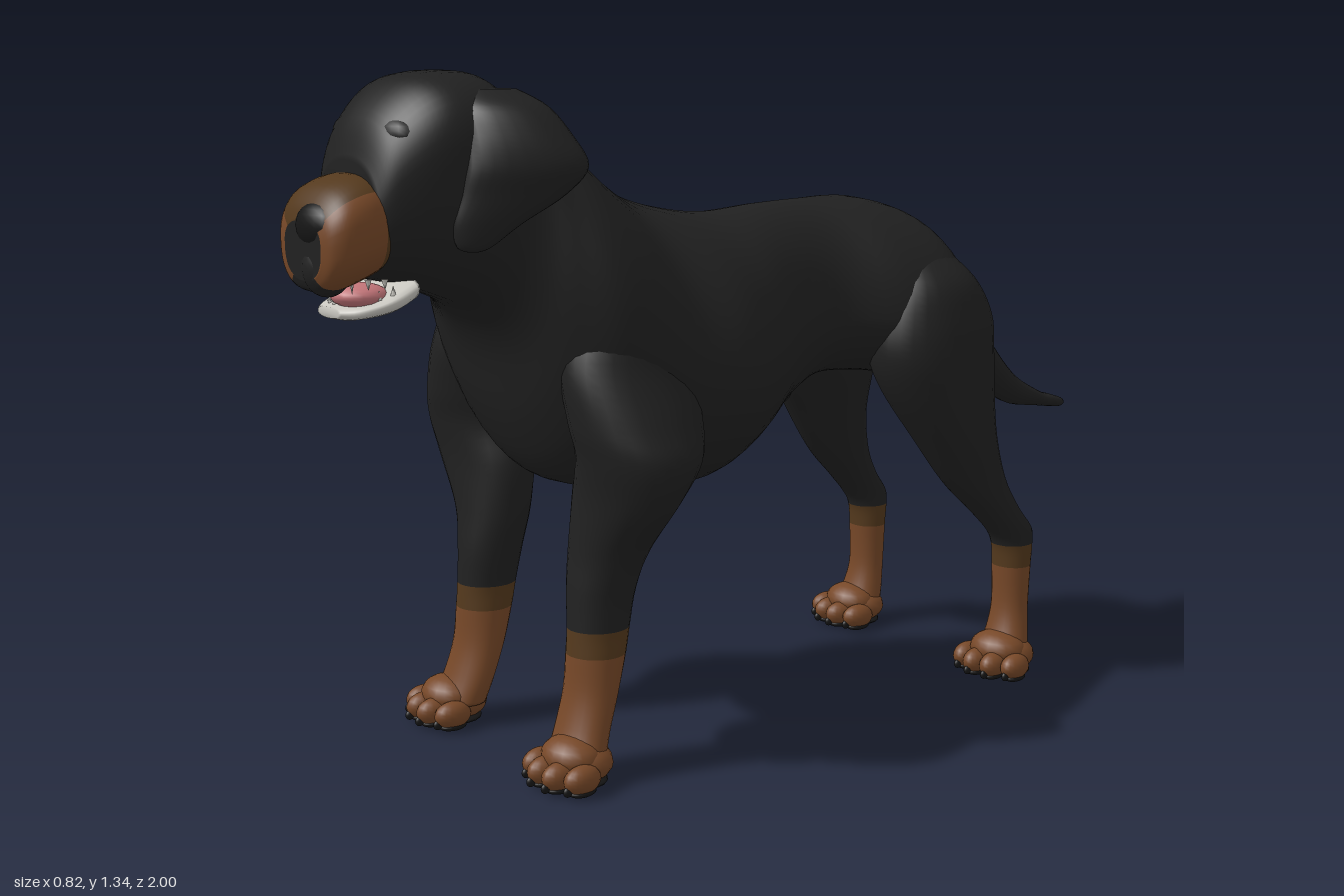
import * as THREE from 'three';

const mat = (name, color) => {
  const m = new THREE.MeshStandardMaterial({ color });
  m.name = name;
  return m;
};

// Catmull-Rom through rows of numbers, n steps between neighbours
function refine(rows, n) {
  const out = [];
  for (let i = 0; i < rows.length - 1; i++) {
    const a = rows[Math.max(i - 1, 0)], b = rows[i], c = rows[i + 1], d = rows[Math.min(i + 2, rows.length - 1)];
    for (let k = 0; k < n; k++) {
      const t = k / n;
      out.push(b.map((_, j) => b[j] + 0.5 * t * (c[j] - a[j] +
        t * (2 * a[j] - 5 * b[j] + 4 * c[j] - d[j] + t * (3 * (b[j] - c[j]) + d[j] - a[j])))));
    }
  }
  out.push(rows[rows.length - 1]);
  return out;
}

// Closed skin over rings; paint(row, angle) picks the material number
function loft(name, rows, point, materials, { sides = 28, steps = 5, flip = false, paint = () => 0 } = {}) {
  const st = refine(rows, steps), pos = [], buckets = materials.map(() => []);
  const tri = (m, a, b, c) => buckets[m].push(a, flip ? c : b, flip ? b : c);
  st.forEach(r => {
    for (let j = 0; j < sides; j++) pos.push(...point(r, j / sides * Math.PI * 2));
  });
  for (let i = 0; i < st.length - 1; i++) for (let j = 0; j < sides; j++) {
    const k = (j + 1) % sides, a = i * sides + j, b = i * sides + k;
    const mid = st[i].map((v, q) => (v + st[i + 1][q]) / 2);
    const m = paint(mid, (j + 0.5) / sides * Math.PI * 2);
    tri(m, a, b, a + sides);
    tri(m, b, b + sides, a + sides);
  }
  // end caps
  [0, st.length - 1].forEach((i, e) => {
    const c = [0, 0, 0], hub = pos.length / 3;
    for (let j = 0; j < sides; j++) for (let q = 0; q < 3; q++) c[q] += pos[(i * sides + j) * 3 + q] / sides;
    pos.push(...c);
    const m = paint(st[i], Math.PI * 1.5);
    for (let j = 0; j < sides; j++) {
      const a = i * sides + j, b = i * sides + (j + 1) % sides;
      if (e) tri(m, a, b, hub); else tri(m, b, a, hub);
    }
  });
  const g = new THREE.BufferGeometry();
  g.setAttribute('position', new THREE.Float32BufferAttribute(pos, 3));
  g.setIndex(buckets.flat());
  let start = 0;
  buckets.forEach((b, m) => { g.addGroup(start, b.length, m); start += b.length; });
  g.computeVertexNormals();
  const mesh = new THREE.Mesh(g, materials.length > 1 ? materials : materials[0]);
  mesh.name = name;
  return mesh;
}

// Powers below 1 make an ellipse squarer, above 1 more pointed
const bend = (v, p) => Math.sign(v) * Math.abs(v) ** p;
// Upright ring: row = [z, top, widest, bottom, halfWidth, centreX, power of the upper half]
const upright = ([z, top, mid, bot, w, cx, p], a) => {
  const s = Math.sin(a), q = s > 0 ? p : Math.min(p, 1);
  return [cx + w * bend(Math.cos(a), q), mid + bend(s, q) * (s > 0 ? top - mid : mid - bot), z];
};
// Level ring: row = [y, x, z, radiusX, radiusZ], mirrored by side and turned by yaw
const level = (side, p = 1, yaw = 0) => ([y, x, z, rx, rz], a) => {
  const u = rx * bend(Math.cos(a), p), v = rz * bend(Math.sin(a), p);
  return [side * (x + u * Math.cos(yaw) - v * Math.sin(yaw)), y, z + u * Math.sin(yaw) + v * Math.cos(yaw)];
};

export function createModel() {
  const dog = new THREE.Group();
  dog.name = 'dog';
  const black = mat('black coat', 0x212121), tan = mat('tan coat', 0x774828), darkTan = mat('dark tan coat', 0x54391d);
  const claw = mat('pads and claws', 0x161616), ivory = mat('teeth and lip', 0xc9c7c0), pink = mat('tongue', 0xc4767a);

  const ball = (name, m, x, y, z, rx, ry, rz, parent = dog) => {
    const b = new THREE.Mesh(new THREE.SphereGeometry(1, 18, 12), m);
    b.name = name;
    b.position.set(x, y, z);
    b.scale.set(rx, ry, rz);
    parent.add(b);
    return b;
  };

  // Rump, barrel, neck and skull in one skin
  dog.add(loft('body', [
    [-0.555, 0.87, 0.80, 0.72, 0.07, 0.025, 1], [-0.54, 0.92, 0.80, 0.69, 0.14, 0.02, 1],
    [-0.49, 0.985, 0.81, 0.67, 0.215, 0.02, 1], [-0.42, 1.04, 0.81, 0.67, 0.25, 0.018, 1],
    [-0.30, 1.07, 0.82, 0.69, 0.23, 0.015, 1.05], [-0.17, 1.07, 0.83, 0.69, 0.163, 0.017, 1.1],
    [-0.05, 1.065, 0.81, 0.63, 0.188, 0.015, 1.14], [0.08, 1.055, 0.78, 0.55, 0.272, 0.012, 1.14],
    [0.20, 1.07, 0.77, 0.51, 0.335, 0.012, 1.14], [0.32, 1.105, 0.79, 0.51, 0.335, 0.01, 1.1],
    [0.42, 1.165, 0.86, 0.53, 0.34, 0, 1], [0.50, 1.24, 0.92, 0.57, 0.32, 0, 1],
    [0.56, 1.29, 0.97, 0.68, 0.275, 0, 0.95], [0.605, 1.32, 1.04, 0.82, 0.23, 0.005, 0.85],
    [0.66, 1.345, 1.14, 0.90, 0.205, 0.01, 0.75], [0.74, 1.345, 1.18, 0.94, 0.195, 0.015, 0.75],
    [0.80, 1.325, 1.17, 0.96, 0.18, 0.015, 0.8], [0.86, 1.265, 1.13, 0.975, 0.145, 0.02, 0.85],
    [0.89, 1.19, 1.09, 0.985, 0.115, 0.025, 0.9],
  ], upright, [black], { sides: 48 }));

  dog.add(loft('tail', [
    [-1, 0.545, 0.538, 0.531, 0.008, 0.03, 1], [-0.985, 0.552, 0.54, 0.528, 0.018, 0.03, 1],
    [-0.95, 0.563, 0.548, 0.532, 0.026, 0.03, 1], [-0.9, 0.58, 0.56, 0.54, 0.034, 0.03, 1],
    [-0.8, 0.64, 0.6, 0.56, 0.045, 0.03, 1], [-0.7, 0.755, 0.69, 0.63, 0.052, 0.03, 1],
    [-0.6, 0.905, 0.83, 0.75, 0.06, 0.03, 1], [-0.54, 0.96, 0.91, 0.85, 0.066, 0.03, 1],
    [-0.46, 1.01, 0.96, 0.9, 0.06, 0.03, 1],
  ], upright, [black], { sides: 20 }));
  ball('sheath', black, 0.01, 0.675, -0.10, 0.03, 0.045, 0.065).rotation.x = -0.4;

  // Muzzle: dark on the bridge and rear, bright on the cheeks, black lip below
  dog.add(loft('muzzle', [
    [0.85, 1.162, 1.08, 0.995, 0.115, 0.025, 0.8], [0.90, 1.168, 1.07, 0.975, 0.128, 0.03, 0.8],
    [0.95, 1.15, 1.06, 0.96, 0.128, 0.034, 0.8], [0.98, 1.12, 1.05, 0.965, 0.104, 0.042, 0.8],
    [0.992, 1.09, 1.045, 0.985, 0.07, 0.05, 0.8],
  ], upright, [tan, darkTan, black], {
    sides: 36,
    paint: (r, a) => Math.sin(a) < -0.9 ? 2 : Math.sin(a) > 0.6 || r[0] < 0.88 ? 1 : 0,
  }));
  ball('nose', claw, 0.068, 1.08, 0.966, 0.07, 0.044, 0.034);
  ball('lipCrease', black, 0.065, 1.005, 0.955, 0.056, 0.052, 0.042);

  // Open lower jaw, dipping at the front, with tongue and teeth
  dog.add(loft('lowerJaw', [
    [0.80, 0.985, 0.962, 0.93, 0.1, 0.02, 0.9], [0.835, 0.968, 0.945, 0.914, 0.103, 0.02, 0.9],
    [0.87, 0.95, 0.932, 0.907, 0.096, 0.02, 0.9], [0.91, 0.937, 0.922, 0.905, 0.075, 0.022, 0.9],
    [0.935, 0.93, 0.92, 0.91, 0.04, 0.025, 0.9],
  ], upright, [ivory], { sides: 24 }));
  ball('tongue', pink, 0.05, 0.95, 0.885, 0.054, 0.023, 0.052);
  for (let i = -5; i <= 5; i++) {
    const a = i / 5 * 1.35, canine = Math.abs(i) === 3;
    const lower = new THREE.Mesh(new THREE.ConeGeometry(0.006, canine ? 0.036 : 0.018, 6), ivory);
    lower.name = 'lowerTooth';
    lower.position.set(0.022 + 0.085 * Math.sin(a), 0.967 - 0.03 * Math.cos(a), 0.825 + 0.095 * Math.cos(a));
    const upper = new THREE.Mesh(new THREE.ConeGeometry(0.007, canine ? 0.034 : 0.02, 6), ivory);
    upper.name = 'upperTooth';
    upper.rotation.x = Math.PI;
    upper.position.set(0.03 + 0.1 * Math.sin(a), 0.975, 0.85 + 0.11 * Math.cos(a));
    dog.add(lower, upper);
  }

  // Paw with four toes, claws and a dark sole
  function paw(name, x, z, turn) {
    const p = new THREE.Group();
    p.name = name;
    p.position.set(x, 0, z);
    p.rotation.y = turn;
    ball('pawBody', tan, 0, 0.048, -0.008, 0.074, 0.042, 0.06, p);
    ball('instep', tan, 0, 0.06, 0.01, 0.066, 0.04, 0.055, p);
    ball('pad', claw, 0, 0.015, 0, 0.07, 0.012, 0.055, p);
    [-0.066, -0.023, 0.023, 0.066].forEach((tx, i) => {
      const tz = i % 3 ? 0.055 : 0.035;
      ball('toe', tan, tx, 0.036, tz, 0.026, 0.028, 0.04, p);
      ball('toePad', claw, tx, 0.013, tz, 0.02, 0.01, 0.03, p);
      ball('claw', claw, tx, 0.02, tz + 0.034, 0.007, 0.01, 0.01, p);
    });
    dog.add(p);
  }

  const sock = r => r[0] > 0.295 ? 0 : r[0] > 0.245 ? 1 : 2;
  for (const side of [1, -1]) {
    const label = side > 0 ? 'left' : 'right';
    const opts = { flip: side < 0, paint: sock, sides: 28 };
    // Shoulder down to the front pastern
    dog.add(loft(label + 'FrontLeg', [
      [1.0, 0.18, 0.40, 0.05, 0.06], [0.9, 0.215, 0.42, 0.095, 0.11], [0.8, 0.235, 0.43, 0.102, 0.135],
      [0.7, 0.262, 0.43, 0.122, 0.13], [0.63, 0.275, 0.432, 0.135, 0.112], [0.55, 0.25, 0.445, 0.132, 0.085],
      [0.45, 0.212, 0.458, 0.092, 0.072], [0.37, 0.203, 0.472, 0.07, 0.066], [0.295, 0.205, 0.481, 0.06, 0.061],
      [0.245, 0.206, 0.488, 0.061, 0.057], [0.17, 0.207, 0.502, 0.063, 0.049],
      [0.1, 0.211, 0.525, 0.067, 0.046], [0.05, 0.22, 0.545, 0.07, 0.05],
    ], level(side), [black, darkTan, tan], opts));
    ball('dewPad', tan, side * 0.205, 0.165, 0.461, 0.018, 0.025, 0.014);
    paw(label + 'FrontPaw', side * 0.23, 0.553, side * 0.06);

    // Thigh, hock and rear pastern
    const hind = loft(label + 'HindLeg', [
      [0.97, 0.13, -0.39, 0.05, 0.06], [0.9, 0.16, -0.40, 0.1, 0.11], [0.82, 0.177, -0.405, 0.11, 0.145],
      [0.74, 0.183, -0.402, 0.112, 0.152], [0.66, 0.193, -0.415, 0.1, 0.137], [0.55, 0.212, -0.45, 0.08, 0.1],
      [0.45, 0.225, -0.498, 0.06, 0.077], [0.38, 0.235, -0.552, 0.05, 0.06], [0.33, 0.24, -0.595, 0.046, 0.055],
      [0.295, 0.24, -0.607, 0.045, 0.046], [0.245, 0.24, -0.607, 0.045, 0.04],
      [0.15, 0.24, -0.605, 0.044, 0.036], [0.08, 0.243, -0.592, 0.054, 0.042], [0.04, 0.246, -0.575, 0.062, 0.05],
    ], level(side, 0.95), [black, darkTan, tan], opts);
    hind.position.x = 0.01;
    dog.add(hind);
    paw(label + 'HindPaw', 0.01 + side * 0.247, -0.573, side * 0.12);

    // Drooping ear, flush with the skull, outer edge swept back
    dog.add(loft(label + 'Ear', [
      [1.315, 0.14, 0.66, 0.03, 0.05], [1.285, 0.18, 0.655, 0.05, 0.08], [1.235, 0.22, 0.65, 0.047, 0.097],
      [1.18, 0.248, 0.65, 0.036, 0.11], [1.13, 0.238, 0.675, 0.028, 0.095],
      [1.08, 0.217, 0.715, 0.022, 0.062], [1.04, 0.205, 0.735, 0.016, 0.032], [1.03, 0.203, 0.737, 0.005, 0.01],
    ], level(side, 0.9, 0.5), [black], { flip: side < 0, sides: 24 }));

    // Brow ridge
    ball('brow', black, 0.02 + side * 0.08, 1.235, 0.825, 0.06, 0.035, 0.035);
  }
  return dog;
}
